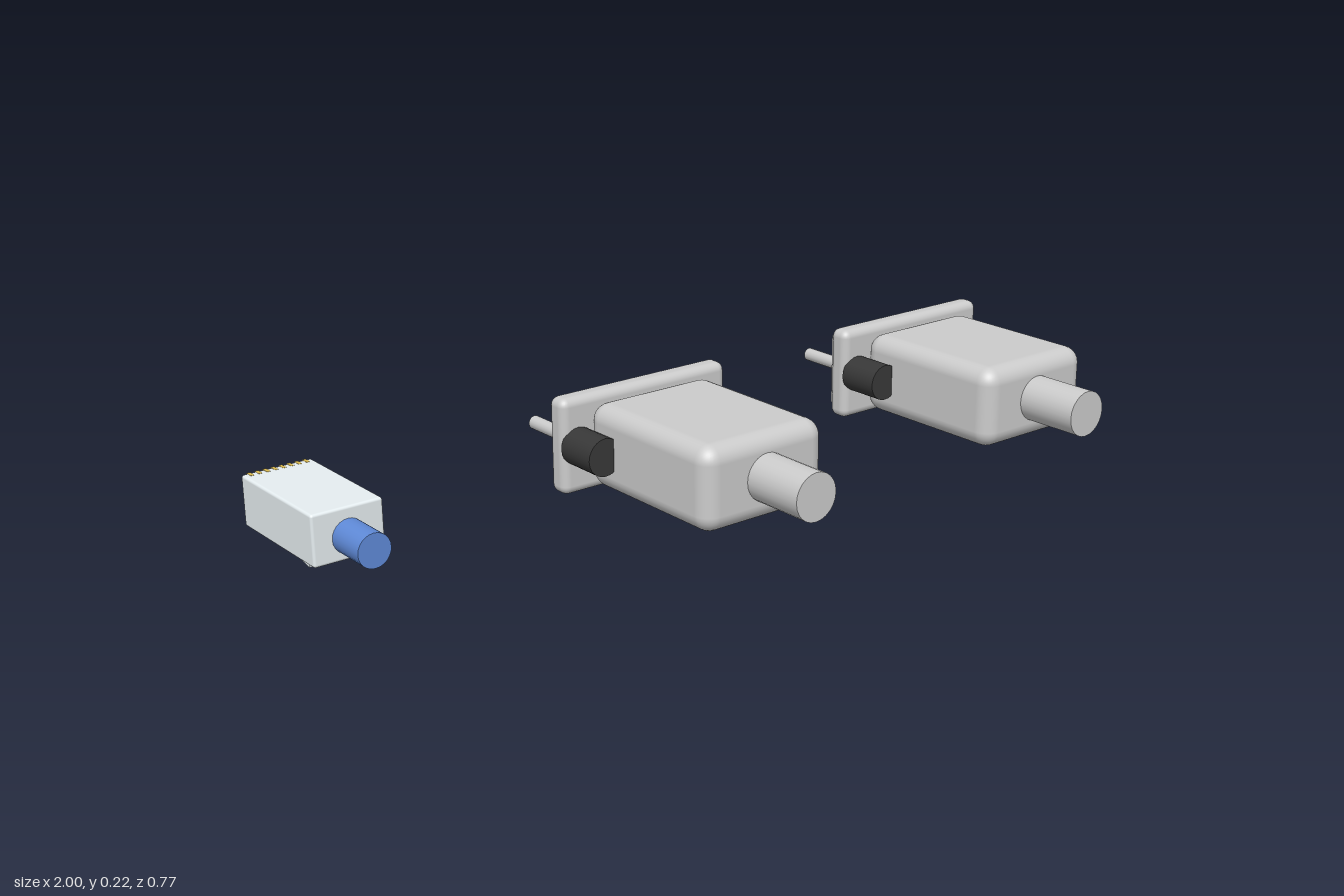
import * as THREE from 'three';
import { RoundedBoxGeometry } from 'three/addons/geometries/RoundedBoxGeometry.js';

const mat = (color) => new THREE.MeshStandardMaterial({ color });
const grey = mat(0xcccccc), dark = mat(0x383838), black = mat(0x1c1c1c);
const clear = mat(0xe6eef1), blue = mat(0x5f8ad8), gold = mat(0xd8b850);

function add(parent, name, geometry, material, x, y, z) {
  const mesh = new THREE.Mesh(geometry, material);
  mesh.name = name;
  mesh.position.set(x, y, z);
  parent.add(mesh);
  return mesh;
}

// Cylinder lying along z between z0 and z1
function rod(parent, name, radius, z0, z1, material, x, y, sides = 24) {
  const g = new THREE.CylinderGeometry(radius, radius, z1 - z0, sides).rotateX(Math.PI / 2);
  return add(parent, name, g, material, x, y, (z0 + z1) / 2);
}

// Trapezoid outline, wider at the top, with rounded corners
function dShape(top, bottom, halfHeight, r) {
  const pts = [[-bottom, -halfHeight], [bottom, -halfHeight], [top, halfHeight], [-top, halfHeight]]
    .map(([x, y]) => new THREE.Vector2(x, y));
  const s = new THREE.Shape();
  pts.forEach((p, i) => {
    const prev = pts[(i + 3) % 4], next = pts[(i + 1) % 4];
    const a = p.clone().add(prev.clone().sub(p).setLength(r));
    const b = p.clone().add(next.clone().sub(p).setLength(r));
    if (i === 0) s.moveTo(a.x, a.y); else s.lineTo(a.x, a.y);
    s.quadraticCurveTo(p.x, p.y, b.x, b.y);
  });
  s.closePath();
  return s;
}

function serialConnector(name, x) {
  const g = new THREE.Group();
  g.name = name;
  g.position.set(x, 0.113, 0);

  // Moulded hood, cable and flange
  add(g, 'hood', new RoundedBoxGeometry(0.335, 0.195, 0.42, 4, 0.04), grey, 0, 0, 0.02);
  rod(g, 'cable', 0.055, 0.2, 0.385, grey, 0, 0.002);
  add(g, 'flange', new RoundedBoxGeometry(0.465, 0.225, 0.055, 3, 0.02), grey, 0, 0, -0.2175);
  add(g, 'facePlate', new THREE.BoxGeometry(0.425, 0.175, 0.02), grey, 0, 0, -0.248);

  // Metal shell with rounded rims, and the black socket insert
  const shell = new THREE.ExtrudeGeometry(dShape(0.1, 0.085, 0.04, 0.016), {
    depth: 0.057, bevelThickness: 0.015, bevelSize: 0.015, bevelSegments: 3, curveSegments: 4,
  });
  add(g, 'shell', shell, grey, 0, 0.002, -0.33);
  const insert = new THREE.ExtrudeGeometry(dShape(0.105, 0.09, 0.042, 0.004), {
    depth: 0.02, bevelEnabled: false, curveSegments: 2,
  });
  add(g, 'socketInsert', insert, black, 0, 0.001, -0.355);

  // Thumbscrew grips and their screws on both sides
  for (const side of [-1, 1]) {
    rod(g, 'thumbscrew', 0.044, -0.195, -0.09, dark, side * 0.19, 0);
    rod(g, 'screw', 0.016, -0.385, -0.25, grey, side * 0.175, 0.001, 16);
  }
  return g;
}

function networkPlug() {
  const g = new THREE.Group();
  g.name = 'networkPlug';
  g.position.set(-0.92, 0, 0);

  add(g, 'plugBody', new RoundedBoxGeometry(0.16, 0.112, 0.295, 2, 0.006), clear, 0, 0.116, -0.2025);
  rod(g, 'plugCable', 0.037, -0.07, 0.045, blue, 0, 0.11);

  // Contacts along the top edge of the tip
  for (let i = 0; i < 8; i++) {
    add(g, 'contact', new THREE.BoxGeometry(0.008, 0.012, 0.02), gold, (i - 3.5) * 0.018, 0.1665, -0.3405);
  }

  // Sprung latch sloping away below the body; profile in (-z, y)
  const latch = new THREE.Shape();
  [[0.285, 0.063], [0.285, 0.043], [0.155, 0.02], [0.155, 0.033], [0.258, 0.052], [0.258, 0.063]]
    .forEach(([x, y], i) => (i ? latch.lineTo(x, y) : latch.moveTo(x, y)));
  latch.closePath();
  const geo = new THREE.ExtrudeGeometry(latch, { depth: 0.08, bevelEnabled: false })
    .translate(0, 0, -0.04).rotateY(Math.PI / 2);
  add(g, 'latch', geo, clear, 0, 0, 0);
  return g;
}

export function createModel() {
  const model = new THREE.Group();
  model.name = 'cableConnectors';
  model.add(networkPlug(), serialConnector('serialConnectorRight', -0.08), serialConnector('serialConnectorLeft', 0.764));
  return model;
}
